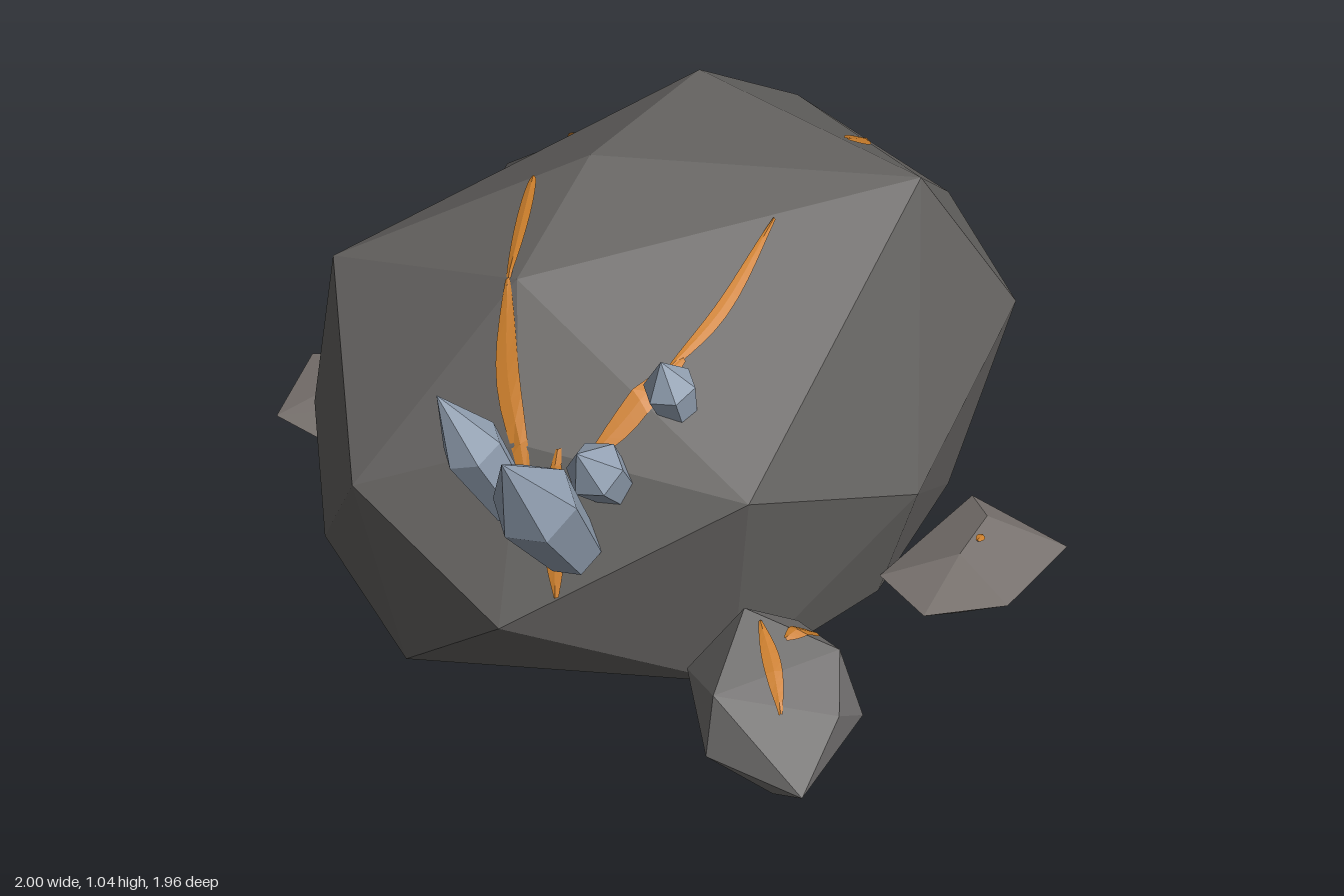
import * as THREE from 'three';
import { ConvexGeometry } from 'three/addons/geometries/ConvexGeometry.js';

const mat = (color) => new THREE.MeshStandardMaterial({ color, flatShading: true, side: THREE.DoubleSide });
const V = (a) => new THREE.Vector3(...a);

export function createModel() {
  const group = new THREE.Group();
  const darkStone = mat(0x656361), stone = mat(0x737170), paleStone = mat(0x7c7672);
  const crystalMat = mat(0x94a2b4), veinMat = mat(0xcc7f2c);

  // Faceted stone: the hull of a few corner points, left open where it rests on the ground
  function rock(name, material, points) {
    const hull = new ConvexGeometry(points.map(V)).getAttribute('position').array;
    const kept = [];
    for (let i = 0; i < hull.length; i += 9) {
      if (Math.max(hull[i + 1], hull[i + 4], hull[i + 7]) > 0.005) kept.push(...hull.slice(i, i + 9));
    }
    const geo = new THREE.BufferGeometry();
    geo.setAttribute('position', new THREE.Float32BufferAttribute(kept, 3));
    geo.computeVertexNormals();
    const mesh = new THREE.Mesh(geo, material);
    mesh.name = name;
    group.add(mesh);
    return mesh;
  }

  const boulder = rock('boulder', darkStone, [
    // crown
    [-0.09, 1.04, 0.2], [-0.24, 1.0, -0.28], [0.39, 0.95, -0.38], [0.07, 0.95, 0.56],
    [-0.42, 0.83, 0.69], [-0.22, 0.81, -0.59], [0.25, 0.68, 0.72],
    // waist
    [-0.04, 0.53, 0.96], [0.68, 0.61, 0.44], [0.68, 0.35, -0.1], [0.45, 0.5, -0.67],
    [-0.06, 0.43, -0.98], [-0.4, 0.35, -0.69], [-0.75, 0.48, 0], [-0.52, 0.37, 0.7],
    [0.34, 0.3, 0.87], [-0.31, 0.17, 0.85], [-0.69, 0.25, 0.17], [-0.05, 0.19, -0.87],
    // foot
    [0, 0, 0.87], [0.57, 0, 0.38], [0.57, 0, -0.1], [0.4, 0, -0.52], [0, 0, -0.73],
    [-0.36, 0, -0.55], [-0.54, 0, 0], [-0.36, 0, 0.46],
  ]);

  const sideRock = rock('sideRock', stone, [
    [-0.66, 0.64, -0.14], [-0.46, 0.62, -0.34], [-0.34, 0.52, -0.68], [-0.62, 0.4, -0.7],
    [-0.9, 0.45, -0.23], [-0.93, 0.27, -0.51], [-0.85, 0.23, 0.07], [-0.62, 0.5, -0.02],
    [-0.7, 0.2, 0.22], [-0.83, 0.14, -0.2], [-0.76, 0.04, -0.45], [-0.22, 0.2, 0.12],
    [-0.64, 0, -0.1], [-0.52, 0, -0.65], [-0.38, 0, -0.15], [-0.66, 0, -0.5],
  ]);

  const frontRock = rock('frontRock', stone, [
    [0.64, 0.28, 0.41], [0.86, 0.25, 0.33], [0.74, 0.2, 0.6], [0.96, 0.18, 0.43],
    [1.0, 0.06, 0.58], [0.76, 0.06, 0.64], [0.55, 0.1, 0.5], [0.66, 0.17, 0.26],
    [0.9, 0.06, 0.29], [0.65, 0.01, 0.34], [0.9, 0, 0.42], [0.68, 0.01, 0.57], [0.9, 0, 0.57],
  ]);

  const leftSlab = rock('leftSlab', paleStone, [
    [0.54, 0.08, -0.45], [0.82, 0.07, -0.48], [0.91, 0.12, -0.17], [0.78, 0.09, -0.03],
    [0.6, 0.08, -0.07], [0.73, 0.15, -0.2], [0.66, 0.13, -0.37], [0.8, 0.06, -0.12], [0.65, 0.06, -0.35],
  ]);

  rock('rightSlab', paleStone, [
    [-1, 0.085, 0.35], [-0.74, 0.13, 0.18], [-0.5, 0.1, 0.25], [-0.45, 0.06, 0.45],
    [-0.58, 0.08, 0.54], [-0.88, 0.06, 0.56], [-0.73, 0.14, 0.28], [-0.6, 0.15, 0.36],
    [-0.8, 0.135, 0.37], [-0.88, 0.06, 0.42],
  ]);

  // Six-sided crystals, each from its root to its tip
  const profile = [[0, 0], [0.7, 0], [1, 0.55], [0, 1]];
  [
    [[0.41, 0.48, 0.71], [0.505, 0.905, 0.98], 0.095],
    [[0.285, 0.56, 0.77], [0.225, 0.9, 0.92], 0.07],
    [[0.42, 0.59, 0.59], [0.44, 0.76, 0.72], 0.068],
    [[0.44, 0.71, 0.42], [0.44, 0.88, 0.475], 0.06],
  ].forEach(([root, tip, r]) => {
    const axis = V(tip).sub(V(root)), len = axis.length();
    const shape = profile.map(([x, y]) => new THREE.Vector2(x * r, y * len));
    const crystal = new THREE.Mesh(new THREE.LatheGeometry(shape, 6), crystalMat);
    crystal.position.set(...root);
    crystal.quaternion.setFromUnitVectors(new THREE.Vector3(0, 1, 0), axis.normalize());
    crystal.name = 'crystal';
    group.add(crystal);
  });

  // Glowing vein: a tapered ribbon laid onto a stone along the given direction
  const ray = new THREE.Raycaster();
  function vein(target, dir, path, width) {
    const d = V(dir), curve = new THREE.CatmullRomCurve3(path.map(V));
    const n = 10, pos = [], index = [];
    const project = (p) => {
      ray.set(p.clone().addScaledVector(d, -3), d);
      const hit = ray.intersectObject(target)[0];
      return hit ? hit.point : null;
    };
    for (let i = 0; i <= n; i++) {
      const t = i / n, centre = curve.getPoint(t);
      const half = width * (0.2 + 0.8 * Math.sin(Math.PI * t)) / 2;
      const across = curve.getTangent(t).cross(d).normalize();
      const middle = project(centre) || centre;
      [-1, 0, 1].forEach((s) => {
        const p = project(centre.clone().addScaledVector(across, s * half))
          || middle.clone().addScaledVector(across, s * half);
        p.addScaledVector(d, s ? -0.005 : -0.008);
        pos.push(p.x, p.y, p.z);
      });
      if (i < n) {
        for (let k = 0; k < 2; k++) {
          const a = i * 3 + k;
          index.push(a, a + 1, a + 3, a + 1, a + 4, a + 3);
        }
      }
    }
    const geo = new THREE.BufferGeometry();
    geo.setAttribute('position', new THREE.Float32BufferAttribute(pos, 3));
    geo.setIndex(index);
    geo.computeVertexNormals();
    const mesh = new THREE.Mesh(geo, veinMat);
    mesh.name = 'vein';
    group.add(mesh);
  }

  const down = [0, -1, 0], back = [0, 0, -1], forward = [0, 0, 1];
  vein(boulder, down, [[-0.16, 0, 0.31], [0.06, 0, 0.58]], 0.03);
  vein(boulder, down, [[0.05, 0, 0.57], [0.16, 0, 0.67], [0.32, 0, 0.75]], 0.05);
  vein(boulder, down, [[0.28, 0, -0.02], [0.36, 0, 0.22], [0.39, 0, 0.42]], 0.03);
  vein(boulder, down, [[0.39, 0, 0.36], [0.4, 0, 0.5], [0.38, 0, 0.64]], 0.05);
  vein(boulder, back, [[0.32, 0.68, 0], [0.37, 0.52, 0], [0.42, 0.38, 0]], 0.04);
  vein(boulder, down, [[-0.44, 0, -0.17], [-0.38, 0, -0.02], [-0.31, 0, 0.07]], 0.035);
  vein(boulder, down, [[0.13, 0, -0.47], [0.16, 0, -0.41], [0.18, 0, -0.35]], 0.055);
  vein(boulder, forward, [[-0.12, 0.53, 0], [-0.12, 0.4, 0], [-0.17, 0.22, 0]], 0.04);
  vein(boulder, back, [[-0.6, 0.15, 0], [-0.56, 0.13, 0], [-0.5, 0.09, 0]], 0.04);
  vein(sideRock, down, [[-0.8, 0, -0.45], [-0.64, 0, -0.44], [-0.48, 0, -0.45]], 0.04);
  vein(sideRock, down, [[-0.67, 0, -0.26], [-0.58, 0, -0.3], [-0.5, 0, -0.33]], 0.04);
  vein(frontRock, down, [[0.77, 0, 0.31], [0.76, 0, 0.4]], 0.05);
  vein(frontRock, down, [[0.69, 0, 0.41], [0.78, 0, 0.46], [0.87, 0, 0.52]], 0.04);
  vein(leftSlab, down, [[0.71, 0, -0.3], [0.72, 0, -0.27]], 0.02);

  return group;
}
